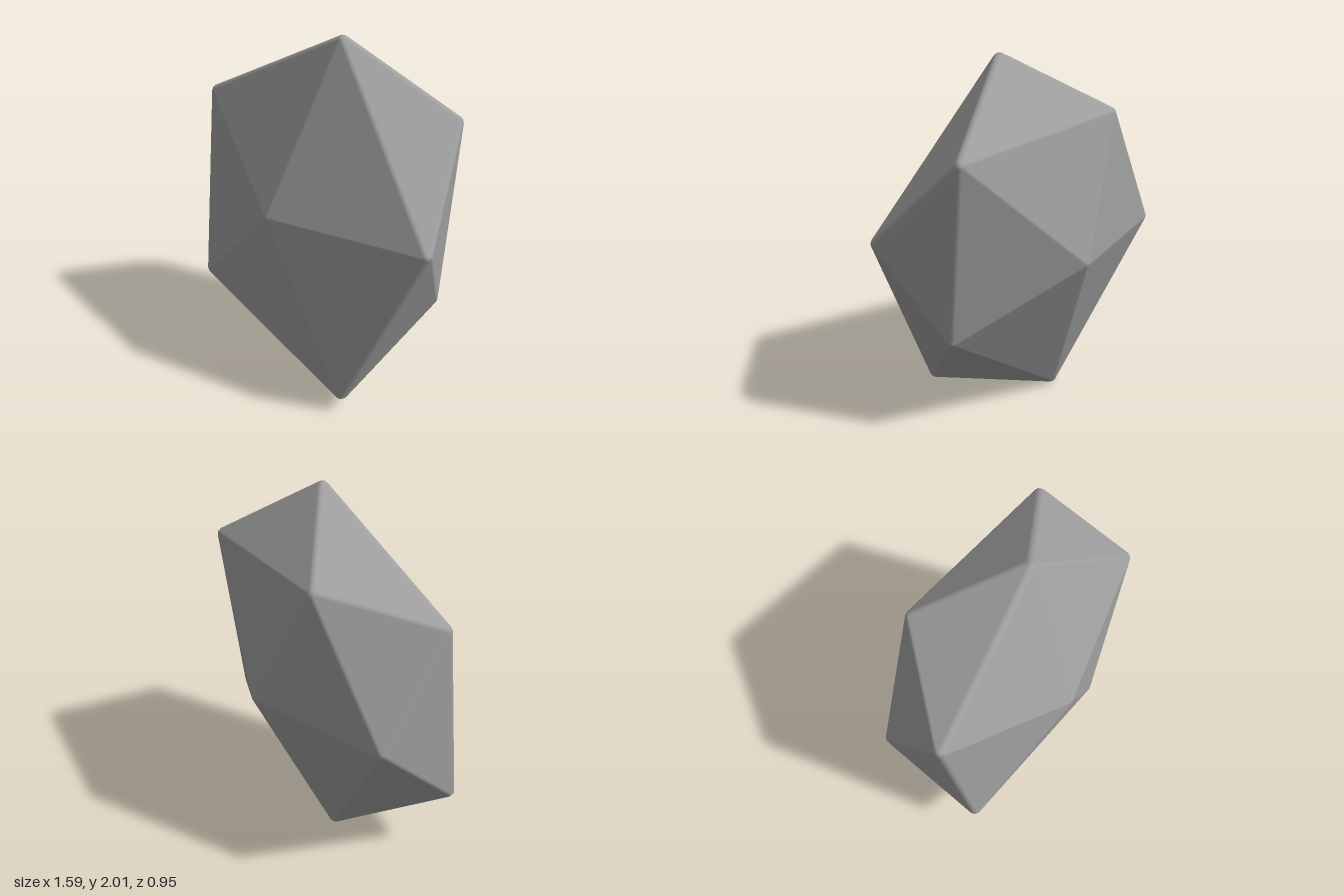
import * as THREE from 'three';

// Corners of the stone: an irregular twenty-sided block
const CORNERS = {
  A: [0.08, 2.0, 0.08], B: [-0.79, 1.53, 0.17], C: [-0.77, 0.41, 0.32],
  D: [-0.09, 1.09, 0.475], E: [0.79, 1.11, 0.26], F: [0.345, 0.08, 0.385],
  G: [-0.21, 0.0, -0.07], H: [0.59, 0.59, -0.12], I: [0.6, 1.61, -0.24],
  J: [-0.36, 1.7, -0.335], K: [-0.04, 0.97, -0.475], L: [-0.79, 0.95, -0.23],
};
const FACES = ('ABD ADE AEI AIJ AJB DBC DCF DFE EFH EHI ' +
  'IHK IKJ JKL JLB BLC GCF GFH GHK GKL GLC').split(' ');
const RADIUS = 0.035; // rounding of edges and corners
const STEPS = 4;      // segments across each rounded edge

function faceNormal([a, b, c], points, middle) {
  const n = points[b].clone().sub(points[a]).cross(points[c].clone().sub(points[a])).normalize();
  return n.dot(points[a].clone().sub(middle)) < 0 ? n.negate() : n;
}

function roundedStone() {
  const middle = new THREE.Vector3(0, 1, 0);
  const corners = {}, centres = {}, average = {};
  for (const k in CORNERS) {
    corners[k] = new THREE.Vector3(...CORNERS[k]);
    average[k] = new THREE.Vector3();
  }
  for (const f of FACES) {
    const n = faceNormal(f, corners, middle);
    for (const k of f) average[k].add(n);
  }
  // Pull each corner in so that a small ball there touches the outer point
  for (const k in corners) {
    average[k].normalize();
    centres[k] = corners[k].clone().addScaledVector(average[k], -RADIUS);
  }

  const positions = [], normals = [];
  // Each triangle corner is [corner key, outward direction]
  const triangle = (...tri) => {
    const p = tri.map(([k, d]) => centres[k].clone().addScaledVector(d, RADIUS));
    const out = tri[0][1].clone().add(tri[1][1]).add(tri[2][1]);
    const cross = p[1].clone().sub(p[0]).cross(p[2].clone().sub(p[0]));
    const order = cross.dot(out) < 0 ? [0, 2, 1] : [0, 1, 2];
    for (const i of order) {
      positions.push(...p[i].toArray());
      normals.push(...tri[i][1].toArray());
    }
  };

  // Flat facets, noting which two meet at each edge
  const edges = {};
  for (const f of FACES) {
    const n = faceNormal(f, centres, middle);
    triangle([f[0], n], [f[1], n], [f[2], n]);
    for (let i = 0; i < 3; i++) {
      const key = [f[i], f[(i + 1) % 3]].sort().join('');
      (edges[key] ??= []).push(n);
    }
  }

  // Rounded edge strips and the corner caps at both ends
  for (const [key, [n1, n2]] of Object.entries(edges)) {
    const [a, b] = key;
    for (let i = 0; i < STEPS; i++) {
      const d = n1.clone().lerp(n2, i / STEPS).normalize();
      const e = n1.clone().lerp(n2, (i + 1) / STEPS).normalize();
      triangle([a, d], [b, d], [b, e]);
      triangle([a, d], [b, e], [a, e]);
      for (const k of key) triangle([k, average[k]], [k, d], [k, e]);
    }
  }

  const geometry = new THREE.BufferGeometry();
  geometry.setAttribute('position', new THREE.Float32BufferAttribute(positions, 3));
  geometry.setAttribute('normal', new THREE.Float32BufferAttribute(normals, 3));
  return geometry;
}

export function createModel() {
  const group = new THREE.Group();
  group.name = 'rock';
  const stoneGrey = new THREE.MeshStandardMaterial({ color: 0xa0a0a0 });
  stoneGrey.name = 'stone grey';
  const stone = new THREE.Mesh(roundedStone(), stoneGrey);
  stone.name = 'stone';
  group.add(stone);
  return group;
}
